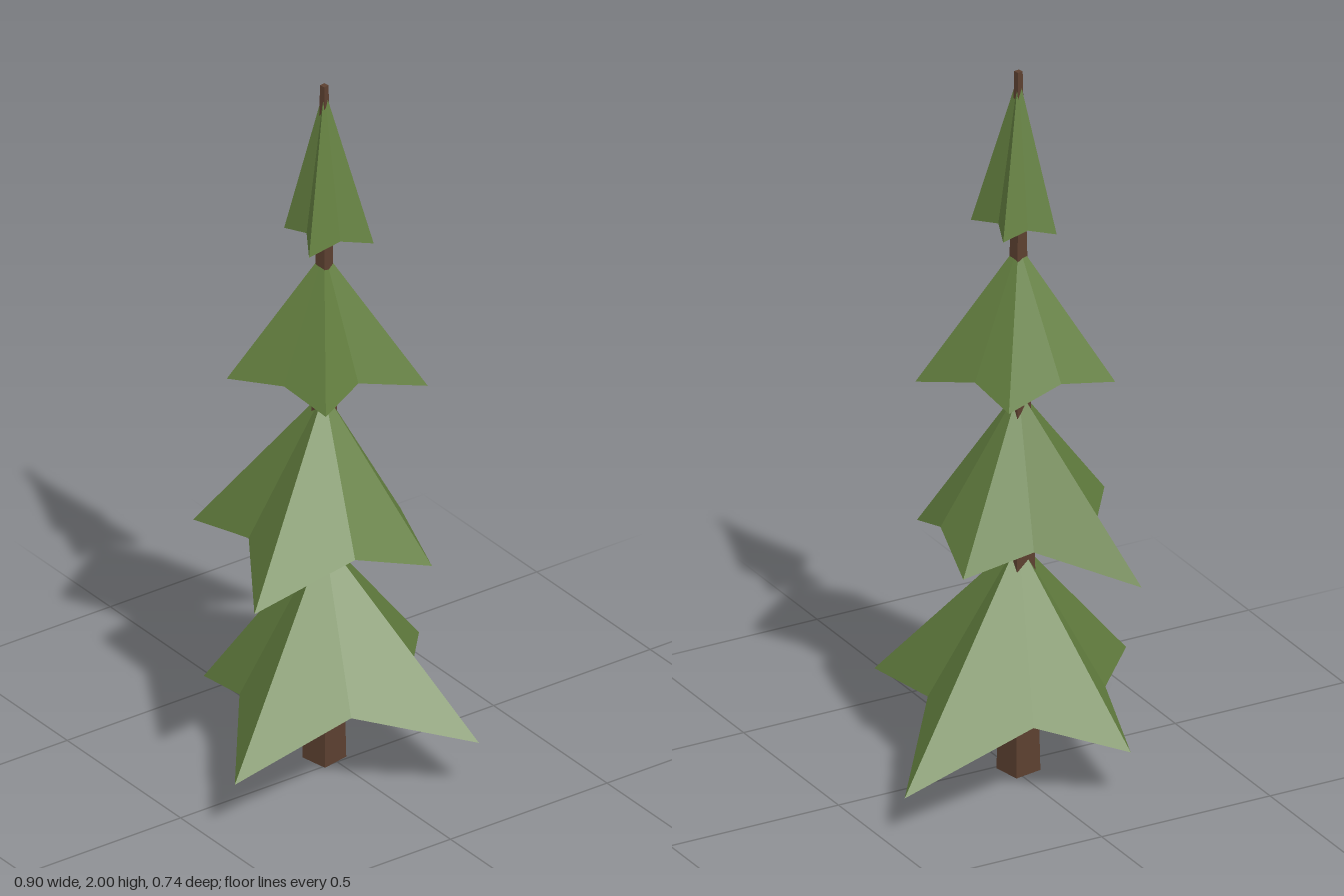
import * as THREE from 'three';

const AXIS_X = -0.012, AXIS_Z = -0.04;

// Each tier: apex height and a star rim of alternating tips and notches [x, y, z]
const TIERS = [
  { apex: 0.655, rim: [
    [0.45, 0.115, -0.26], [0.215, 0.23, 0.035], [0.185, 0.165, 0.37], [-0.1, 0.255, 0.2],
    [-0.45, 0.16, 0.17], [-0.225, 0.22, -0.12], [-0.165, 0.145, -0.36], [0.07, 0.23, -0.265]] },
  { apex: 1.09, rim: [
    [0.228, 0.655, -0.175], [0.18, 0.71, 0.03], [0.14, 0.64, 0.225], [-0.08, 0.715, 0.19],
    [-0.38, 0.64, 0.16], [-0.21, 0.69, -0.1], [-0.192, 0.615, -0.37], [0.035, 0.7, -0.205]] },
  { apex: 1.505, rim: [
    [0.115, 1.12, -0.215], [0.14, 1.16, -0.08], [0.21, 1.1, 0.11], [0.01, 1.16, 0.08],
    [-0.13, 1.13, 0.13], [-0.155, 1.16, -0.02], [-0.215, 1.125, -0.19], [-0.05, 1.16, -0.198]] },
  { apex: 1.99, rim: [
    [0.07, 1.555, -0.105], [0.045, 1.575, -0.035], [0.07, 1.55, 0.065], [-0.015, 1.57, 0.035],
    [-0.115, 1.555, 0.035], [-0.065, 1.575, -0.045], [-0.075, 1.555, -0.13], [0, 1.575, -0.11]] },
];

// Hollow faceted star cone fanned out from its apex
function starCone({ apex, rim }) {
  const points = [];
  rim.forEach((p, i) => {
    const next = rim[(i + 1) % rim.length];
    points.push(AXIS_X, apex, AXIS_Z, ...next, ...p);
  });
  const geometry = new THREE.BufferGeometry();
  geometry.setAttribute('position', new THREE.Float32BufferAttribute(points, 3));
  geometry.computeVertexNormals();
  return geometry;
}

export function createModel() {
  const group = new THREE.Group();
  group.name = 'pineTree';

  const needles = new THREE.MeshStandardMaterial({ color: 0x648040, flatShading: true, side: THREE.DoubleSide });
  needles.name = 'needleGreen';
  const bark = new THREE.MeshStandardMaterial({ color: 0x5c4030, flatShading: true });
  bark.name = 'barkBrown';

  // Four-sided tapering trunk, slightly turned
  const trunk = new THREE.Mesh(new THREE.CylinderGeometry(0.011, 0.057, 2, 4), bark);
  trunk.name = 'trunk';
  trunk.position.set(AXIS_X, 1, AXIS_Z);
  trunk.rotation.y = Math.PI / 4 + 0.19;
  group.add(trunk);

  // Branch tiers, bottom to top
  TIERS.forEach((tier, i) => {
    const mesh = new THREE.Mesh(starCone(tier), needles);
    mesh.name = `branchTier${i + 1}`;
    group.add(mesh);
  });

  return group;
}
